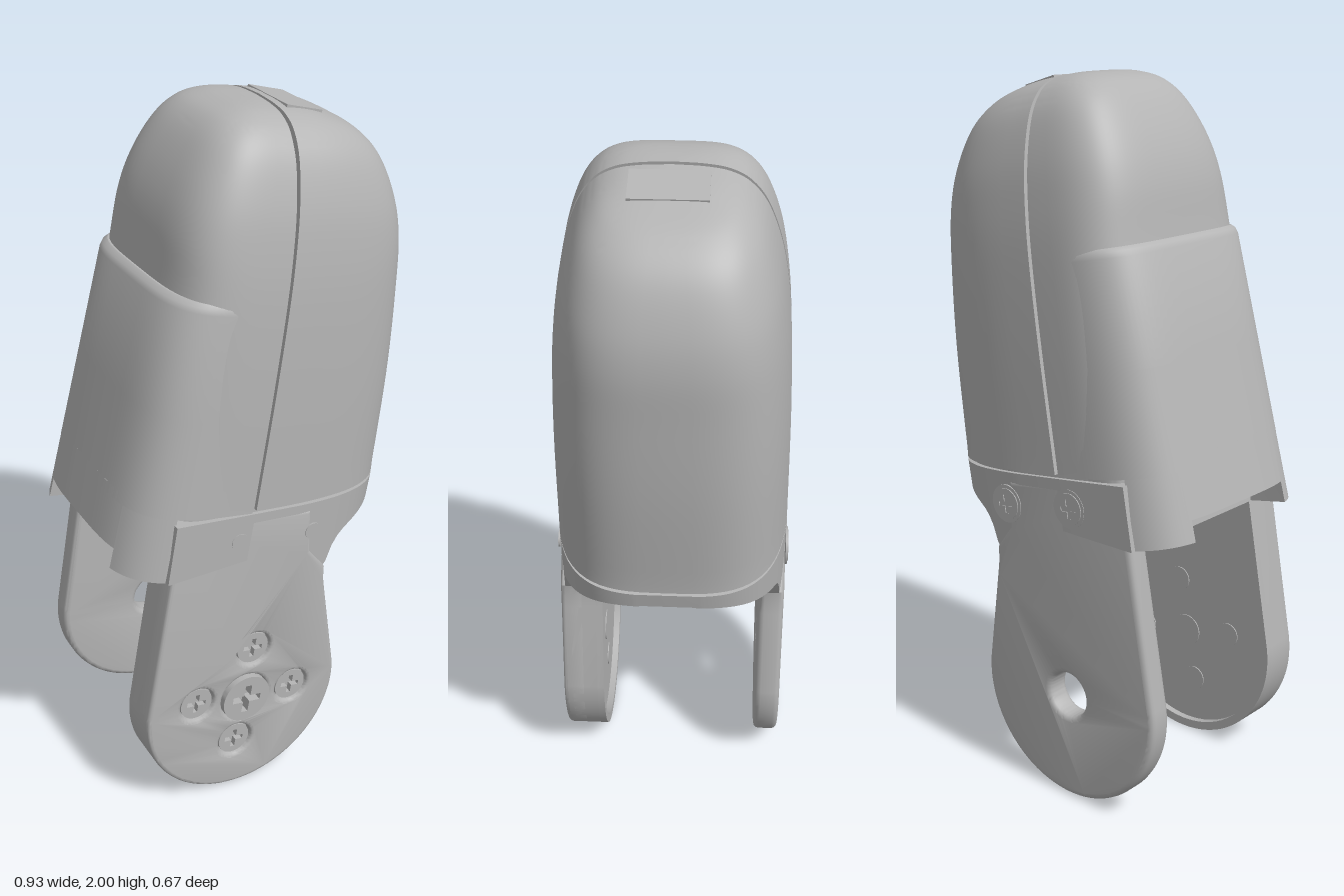
import * as THREE from 'three';
import { toCreasedNormals } from 'three/addons/utils/BufferGeometryUtils.js';

const TILT = THREE.MathUtils.degToRad(10);
const SEAM = -0.25; // seam plane between the two shells, in the tilted frame
const V = (x, y, z) => new THREE.Vector3(x, y, z);

// Solid through a list of equal-length rings, capped at both ends
function loft(rings, flip = false, crease = 0.6) {
  const m = rings[0].length, last = (rings.length - 1) * m, pos = [], idx = [];
  const tri = (a, b, c) => (flip ? idx.push(a, c, b) : idx.push(a, b, c));
  rings.flat().forEach(p => pos.push(p.x, p.y, p.z));
  for (const ring of [rings[0], rings[rings.length - 1]]) {
    const mid = ring.reduce((s, p) => s.add(p), V(0, 0, 0)).divideScalar(m);
    pos.push(mid.x, mid.y, mid.z);
  }
  for (let j = 0; j < m; j++) {
    const k = (j + 1) % m;
    for (let i = 0; i < last; i += m) {
      tri(i + j, i + m + j, i + k);
      tri(i + m + j, i + m + k, i + k);
    }
    tri(j, k, last + m);
    tri(last + k, last + j, last + m + 1);
  }
  const g = new THREE.BufferGeometry();
  g.setAttribute('position', new THREE.Float32BufferAttribute(pos, 3));
  g.setIndex(idx);
  return toCreasedNormals(g, crease);
}

// Half super-ellipse at height v, bulging to +x or -x from x0
function arc(sign, x0, v, len, w, n, t0 = -Math.PI / 2, t1 = Math.PI / 2, steps = 40) {
  return Array.from({ length: steps + 1 }, (_, i) => {
    const t = t0 + (t1 - t0) * i / steps, s = Math.sin(t), c = Math.max(0, Math.cos(t));
    return V(x0 + sign * len * c ** (2 / n), v, w * Math.sign(s) * Math.abs(s) ** (2 / n));
  });
}

// Shell profile rows: height, back reach, front reach, half width
const ROWS = [
  [0.93, -0.53, 0.251, 0.328], [1.26, -0.53, 0.231, 0.322], [1.51, -0.526, 0.203, 0.311],
  [1.66, -0.525, 0.181, 0.295], [1.77, -0.505, 0.142, 0.273], [1.87, -0.465, 0.077, 0.237],
  [1.93, -0.42, -0.006, 0.193], [1.96, -0.365, -0.105, 0.142], [1.972, -0.31, -0.18, 0.08],
  [1.976, -0.25, -0.25, 0.001],
];
const FRONT_POWER = 3.3;
const profile = col => new THREE.CatmullRomCurve3(ROWS.map(r => V(r[col], r[0], r[3])), false, 'catmullrom');
const backCurve = profile(1), frontCurve = profile(2);

// Upper edge of the bracket, by tilted x
const bracketTop = u => 0.905 + (u + 0.484) * 0.0476;

function shell(sign, inset, gap) {
  const curve = sign > 0 ? frontCurve : backCurve, rings = [];
  for (let i = 0; i <= 63; i++) {
    const p = curve.getPoint(i / 63);
    const len = Math.max(0, Math.abs(p.x - SEAM) - gap - inset);
    rings.push(arc(sign, SEAM + sign * gap, p.y - inset, len, Math.max(0, p.z - inset), sign > 0 ? FRONT_POWER : 3.8));
  }
  rings[0].forEach(q => { q.y = bracketTop(q.x) + 0.01 - inset; });
  return loft(rings, sign < 0);
}

// Half width of the bracket in plan, by tilted x
const halfWidth = u => 0.328 * Math.max(0, 1 - (Math.max(0, u - SEAM) / 0.503) ** FRONT_POWER) ** (1 / FRONT_POWER);

const PIVOT = [-0.115, 0.31];
const SCREWS = [[-0.11, 0.317, 0.088], [-0.08, 0.48, 0.066], [-0.265, 0.347, 0.066], [0.048, 0.295, 0.066], [-0.142, 0.165, 0.066]];
const PINS = [[-0.13, 0.87], [0.105, 0.83]];

// One layer of an arm between two depths; its top end sits inside the bridge
function armLayer(z0, z1, holes, bevel = 0) {
  const s = new THREE.Shape();
  s.absarc(...PIVOT, 0.31, Math.PI - 0.15, Math.PI * 2 + 0.06, false);
  for (const p of [[0.156, 0.61], [0.151, 0.65], [0.152, 0.69], [0.1, 0.76], [0.1, 0.9], [-0.312, 0.965]]) s.lineTo(...p);
  s.holes = holes.map(([x, y, r]) => new THREE.Path().absarc(x, y, r, 0, Math.PI * 2, true));
  const g = new THREE.ExtrudeGeometry(s, {
    depth: z1 - z0 - 2 * bevel, curveSegments: 40, bevelEnabled: bevel > 0,
    bevelSize: bevel, bevelThickness: bevel, bevelOffset: -bevel, bevelSegments: 3,
  });
  return toCreasedNormals(g.translate(0, 0, z0 + bevel), 0.6);
}

export function createModel() {
  const grey = new THREE.MeshStandardMaterial({ color: 0xb4b4b4 });
  grey.name = 'grey';
  const root = new THREE.Group(), body = new THREE.Group();
  root.name = 'fingertip';
  body.name = 'tiltedBody';
  body.rotation.z = -TILT;
  body.position.z = -0.005;
  root.add(body);
  const add = (parent, name, geo) => {
    const m = new THREE.Mesh(geo, grey);
    m.name = name;
    parent.add(m);
    return m;
  };

  // Two shells with a fine seam, over an inner core
  add(body, 'frontShell', shell(1, 0, 0.006));
  add(body, 'backShell', shell(-1, 0, 0.006));
  add(body, 'frontCore', shell(1, 0.012, 0));
  add(body, 'backCore', shell(-1, 0.012, 0));

  // Raised back cover with a rounded top lip, flush with the shell at its sides
  const coverLen = v => 0.3 + (1.512 - v) * 0.083;
  const coverWidth = v => 0.309 + (1.51 - v) * 0.0325;
  const coverRings = [[0.92, 0], [1.2, 0], [1.49, 0], [1.505, 0.005], [1.515, 0.018]].map(([v, d]) =>
    arc(-1, SEAM - 0.006, v, coverLen(v) - 0.006 - d, coverWidth(v) - d * 0.3, 4));
  add(body, 'backCover', loft(coverRings, true));

  // Skirt of the cover: two long corners and a shorter middle wall
  const skirt = (name, bottom, t0, t1, inner) => add(body, name, loft([bottom, 0.95].map(v =>
    [...arc(-1, SEAM, v, coverLen(v), coverWidth(v), 4, t0, t1, 14), ...inner.map(([u, z]) => V(u, v, z))]), true));
  skirt('skirtLeftCorner', 0.73, 0.385, 1.13, [[-0.486, 0.2]]);
  skirt('skirtRightCorner', 0.73, -1.13, -0.385, [[-0.486, -0.2]]);
  skirt('skirtMiddle', 0.79, -0.385, 0.385, [[-0.54, 0.2], [-0.54, -0.2]]);

  // Small window plate on the crown
  const plate = add(root, 'crownPlate', new THREE.BoxGeometry(0.11, 0.03, 0.2));
  plate.position.set(0.175, 1.955, 0);
  plate.rotation.z = -0.28;

  // Bridge joining the two arms, with flanges that flare down into them
  const stations = [-0.484, -0.3, -0.101];
  for (let i = 0; i <= 12; i++) stations.push(-0.1 + 0.0125 * i);
  for (let i = 1; i <= 20; i++) stations.push(0.05 + 0.201 * Math.sin(i / 20 * Math.PI / 2));
  stations.sort((a, b) => a - b);
  add(body, 'bridge', loft(stations.map(u => {
    const w = halfWidth(u), top = bracketTop(u), low = 0.813 + 0.176 * u + 0.9 * Math.max(0, u - 0.05) ** 2;
    const foot = low - (u > -0.1005 ? 0.12 * (0.035 / Math.max(u, 0.035)) ** 2 : 0);
    const a = Math.min(0.205, w * 0.95), b = Math.min(0.255, w * 0.95);
    return [V(u, low, a), V(u, foot, a), V(u, foot, w), V(u, top, w),
      V(u, top, -w), V(u, foot, -w), V(u, foot, -b), V(u, low, -b)];
  })));
  // Recessed neck closing the joint above the bridge
  add(body, 'neck', loft([0.9, 0.96].map(v => arc(1, SEAM, v, 0.485, 0.314, FRONT_POWER))));
  add(body, 'backNeck', loft([0.88, 0.96].map(v => arc(-1, SEAM, v, 0.23, 0.314, 8)), true));

  // Front arm: counterbored face, solid web, and a round recess inside
  const rim = 0.012;
  add(root, 'frontArmFace', armLayer(0.25, 0.3225, SCREWS.map(([x, y, r]) => [x, y, r - rim]), rim));
  add(root, 'frontArmWeb', armLayer(0.22, 0.295, []));
  add(root, 'frontArmRim', armLayer(0.2, 0.22, [[...PIVOT, 0.285]]));
  // Back arm with a pivot hole
  add(root, 'backArm', armLayer(-0.3325, -0.26, [[...PIVOT, 0.065]], 0.016));

  const disc = (name, x, y, z, r, h) => {
    const g = new THREE.CylinderGeometry(r, r, h, 32).rotateX(Math.PI / 2);
    add(root, name, g).position.set(x, y, z);
  };

  // Screw head with a cross recess
  function screw(name, x, y, z, r, h, dir) {
    const s = new THREE.Shape().absarc(0, 0, r, 0, Math.PI * 2, false);
    const a = r * 0.14, b = r * 0.6, cross = new THREE.Path();
    cross.setFromPoints([[a, b], [a, a], [b, a], [b, -a], [a, -a], [a, -b], [-a, -b], [-a, -a], [-b, -a], [-b, a], [-a, a], [-a, b]]
      .map(p => new THREE.Vector2(...p)));
    s.holes = [cross];
    const g = new THREE.ExtrudeGeometry(s, { depth: h, bevelEnabled: false, curveSegments: 32 });
    const m = add(root, name, toCreasedNormals(g, 0.6));
    m.position.set(x, y, z);
    if (dir < 0) m.rotation.y = Math.PI;
    m.rotation.z = -TILT * dir;
  }
  SCREWS.forEach(([x, y, r], i) => {
    screw('hubScrew', x, y, 0.295, r - rim - (i ? 0.004 : 0), i ? 0.018 : 0.038, 1);
    disc('screwTip', x, y, 0.22, r * 0.55, 0.006);
  });
  PINS.forEach(([x, y]) => {
    disc('frontPin', x, y, 0.322, 0.025, 0.005);
    disc('backScrewSeat', x, y, -0.332, 0.055, 0.005);
    screw('backScrew', x, y, -0.333, 0.045, 0.004, -1);
  });
  return root;
}
